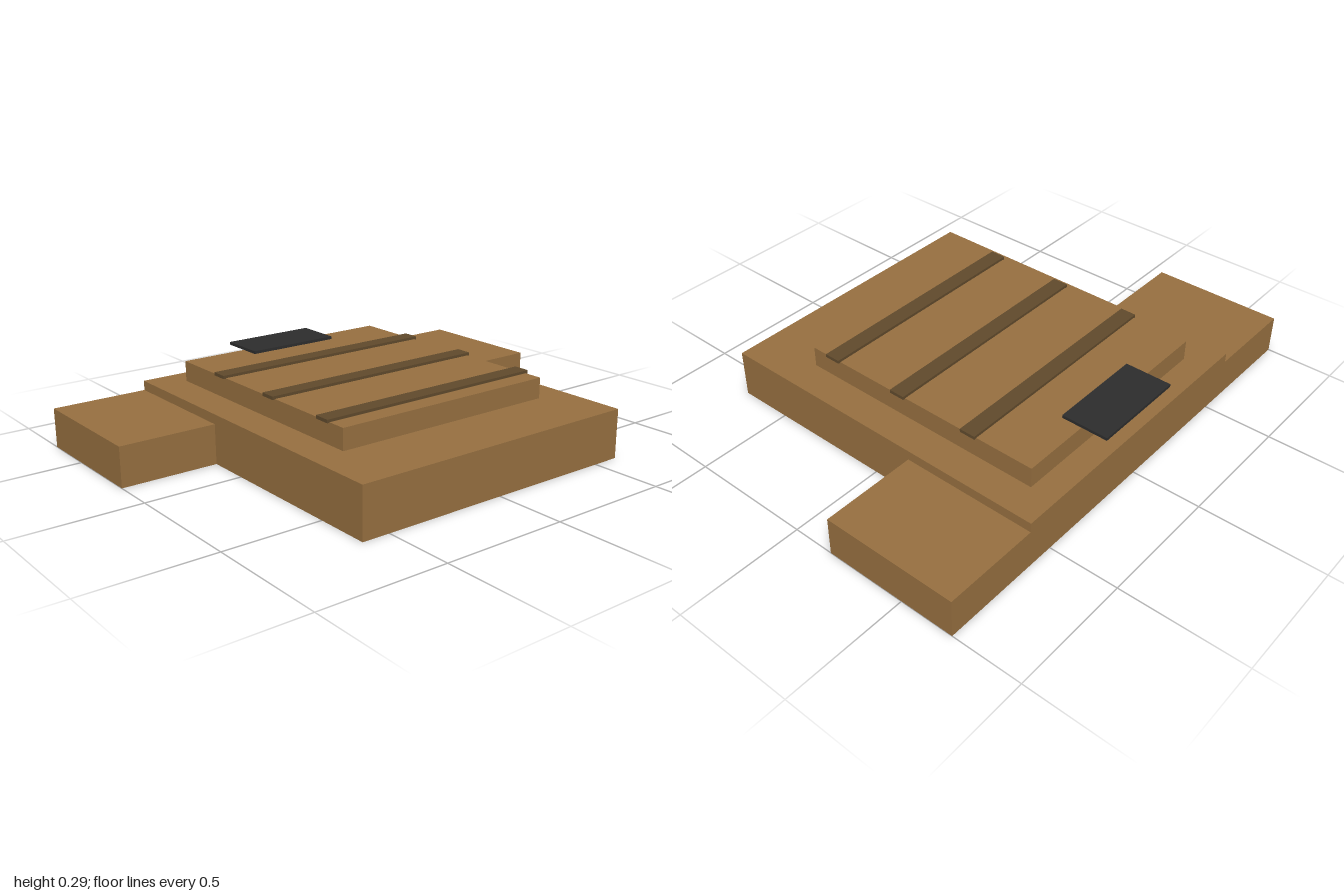
import * as THREE from 'three';

export function createModel() {
  const model = new THREE.Group();
  const brown = new THREE.MeshStandardMaterial({ name: 'tan brown', color: 0x966f40 });
  const dark = new THREE.MeshStandardMaterial({ name: 'dark brown', color: 0x604a2c });
  const black = new THREE.MeshStandardMaterial({ name: 'charcoal', color: 0x2d2d2d });

  // Box given by its limits on each axis
  function block(name, material, [x0, x1], [y0, y1], [z0, z1]) {
    const mesh = new THREE.Mesh(new THREE.BoxGeometry(x1 - x0, y1 - y0, z1 - z0), material);
    mesh.position.set((x0 + x1) / 2, (y0 + y1) / 2, (z0 + z1) / 2);
    mesh.name = name;
    model.add(mesh);
  }

  // Torso slab and raised chest panel
  block('torso', brown, [-0.61, 0.61], [0, 0.197], [-0.72, 0.72]);
  block('chestPanel', brown, [-0.475, 0.475], [0.197, 0.28], [-0.612, 0.442]);

  // Sleeves, one on each side
  block('leftSleeve', brown, [0.61, 1], [0, 0.158], [-0.72, -0.17]);
  block('rightSleeve', brown, [-1, -0.61], [0, 0.158], [-0.72, -0.17]);

  // Three bands across the chest, slightly wider than the panel
  for (const z of [-0.336, 0, 0.333]) {
    block('band', dark, [-0.485, 0.485], [0.278, 0.291], [z - 0.033, z + 0.033]);
  }

  // Collar plate at the neck edge
  block('collar', black, [-0.197, 0.197], [0.28, 0.292], [-0.72, -0.528]);
  return model;
}
